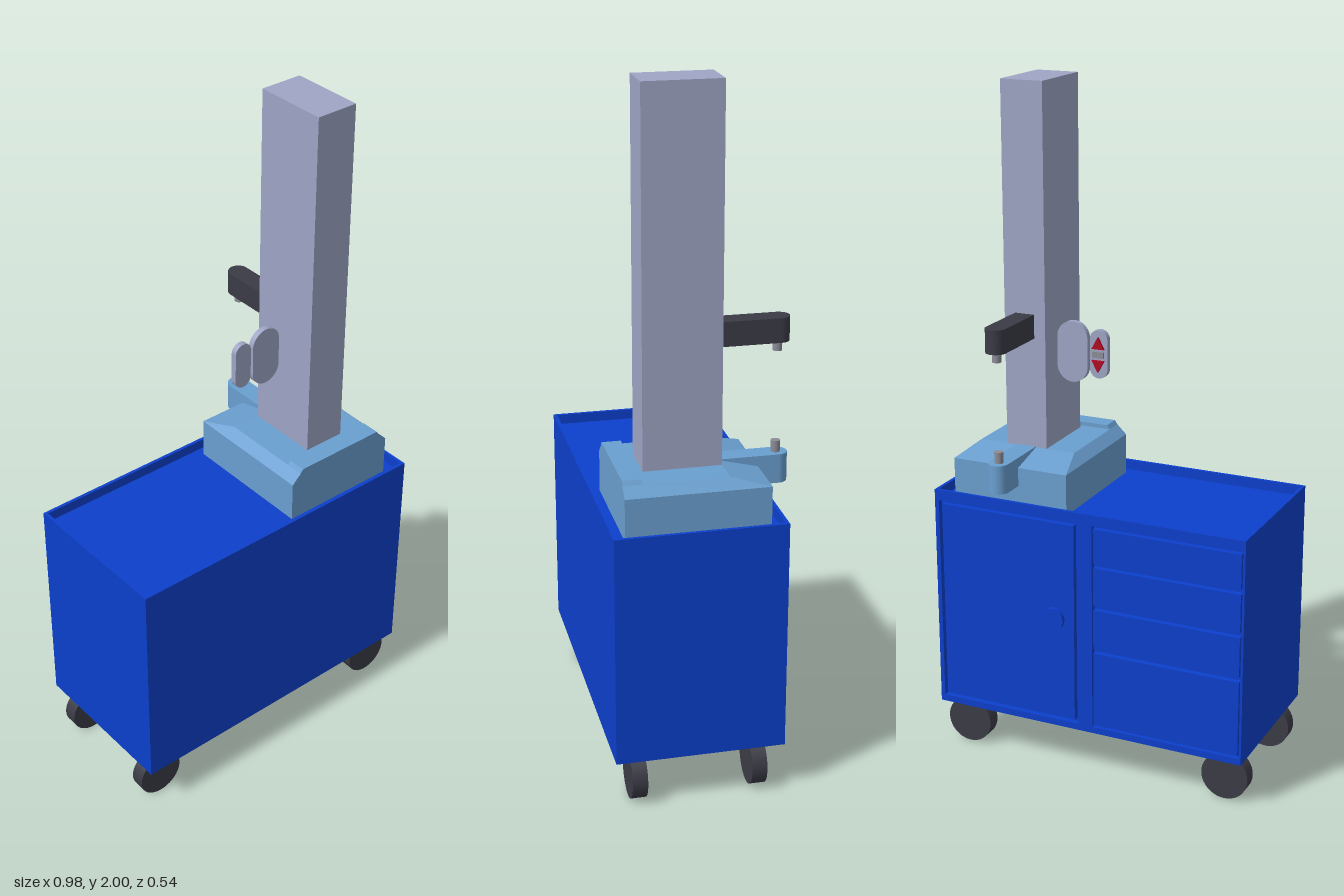
import * as THREE from 'three';
import { ConvexGeometry } from 'three/addons/geometries/ConvexGeometry.js';

const material = (color, flatShading = false) => new THREE.MeshStandardMaterial({ color, flatShading });
const BLUE = material(0x0c3fcb);
const SKY = material(0x6a9fd0);
const SKY_FLAT = material(0x6a9fd0, true);
const PALE = material(0x9ea5c5);
const DARK = material(0x3b3b46);
const RED = material(0xb00a22);
const STEEL = material(0x8c8c98);

export function createModel() {
  const model = new THREE.Group();

  const add = (name, geometry, mat, parent = model) => {
    const mesh = new THREE.Mesh(geometry, mat);
    mesh.name = name;
    parent.add(mesh);
    return mesh;
  };
  const group = (name) => {
    const g = new THREE.Group();
    g.name = name;
    model.add(g);
    return g;
  };
  // Box given by its limits on each axis
  const box = (name, x0, x1, y0, y1, z0, z1, mat, parent) => {
    const mesh = add(name, new THREE.BoxGeometry(x1 - x0, y1 - y0, z1 - z0), mat, parent);
    mesh.position.set((x0 + x1) / 2, (y0 + y1) / 2, (z0 + z1) / 2);
    return mesh;
  };
  const disc = (name, r, length, x, y, z, mat, parent, alongZ = false) => {
    const mesh = add(name, new THREE.CylinderGeometry(r, r, length, 40), mat, parent);
    mesh.position.set(x, y, z);
    if (alongZ) mesh.rotation.x = Math.PI / 2;
    return mesh;
  };
  const extrude = (shape, depth) =>
    new THREE.ExtrudeGeometry(shape, { depth, bevelEnabled: false, curveSegments: 20 });
  const rect = (x0, x1, y0, y1, Type = THREE.Shape) =>
    new Type([[x0, y0], [x1, y0], [x1, y1], [x0, y1]].map(p => new THREE.Vector2(...p)));

  // Cabinet carcass with a shallow tray top
  const cabinet = group('cabinet');
  box('carcass', -0.485, 0.485, 0.145, 0.795, -0.2, 0.267, BLUE, cabinet);
  const rim = rect(-0.485, 0.485, -0.267, 0.217);
  rim.holes.push(rect(-0.475, 0.475, -0.257, 0.207, THREE.Path));
  const rimMesh = add('trayRim', extrude(rim, 0.03), BLUE, cabinet);
  rimMesh.rotation.x = -Math.PI / 2;
  rimMesh.position.y = 0.795;

  // Rear frame with openings for the door and drawers
  const frame = rect(-0.485, 0.485, 0.145, 0.795);
  frame.holes.push(rect(0.025, 0.472, 0.165, 0.793, THREE.Path));
  frame.holes.push(rect(-0.478, -0.022, 0.165, 0.793, THREE.Path));
  add('rearFrame', extrude(frame, 0.017), BLUE, cabinet).position.z = -0.217;
  box('door', 0.035, 0.462, 0.175, 0.783, -0.217, -0.2, BLUE, cabinet);
  disc('doorKnob', 0.034, 0.014, 0.1, 0.488, -0.222, BLUE, cabinet, true);
  const levels = [0.165, 0.41, 0.545, 0.675, 0.793];
  for (let i = 0; i < 4; i++) {
    box('drawer', -0.474, -0.026, levels[i] + 0.007, levels[i + 1] - 0.009, -0.217, -0.2, BLUE, cabinet);
  }

  // Wheels
  for (const x of [-0.417, 0.417]) {
    for (const z of [-0.145, 0.2]) disc('wheel', 0.071, 0.044, x, 0.071, z, DARK, model, true);
  }

  // Pedestal: chamfered sides, slope at the rear
  const base = group('pedestal');
  const corners = [];
  for (const s of [-1, 1]) {
    const x = (half) => 0.256 + s * half;
    for (const z of [-0.18, 0.227]) {
      corners.push(new THREE.Vector3(x(0.181), 0.795, z), new THREE.Vector3(x(0.181), 0.917, z));
    }
    for (const z of [-0.068, 0.227]) corners.push(new THREE.Vector3(x(0.152), 0.945, z));
  }
  add('pedestalBody', new ConvexGeometry(corners), SKY_FLAT, base);
  const lip = new THREE.Shape([[0.104, 0.945], [0.408, 0.945], [0.4, 0.957], [0.112, 0.957]]
    .map(p => new THREE.Vector2(...p)));
  add('frontLip', extrude(lip, 0.055), SKY, base).position.z = 0.172;

  // Column
  box('column', 0.193, 0.322, 0.945, 2, -0.068, 0.154, PALE);

  // Two rear arms with rounded ends and facing centre pins
  const armShape = new THREE.Shape();
  armShape.moveTo(-0.03, 0.06);
  armShape.lineTo(0.03, 0.06);
  armShape.lineTo(0.03, 0.24);
  armShape.absarc(0, 0.24, 0.03, 0, Math.PI, false);
  armShape.closePath();
  const arm = (name, y, height, pinY, mat) => {
    const g = group(name);
    const beam = add('beam', extrude(armShape, height), mat, g);
    beam.rotation.x = -Math.PI / 2;
    beam.position.set(0.258, y, 0);
    disc('pin', 0.013, 0.036, 0.258, pinY, -0.237, STEEL, g);
  };
  arm('upperArm', 1.272, 0.07, 1.261, DARK);
  arm('lowerArm', 0.862, 0.085, 0.962, SKY);

  // Pill-shaped control plates beside the column
  const pill = (name, x0, x1, y0, y1, parent) => {
    const r = (x1 - x0) / 2, x = (x0 + x1) / 2;
    const s = new THREE.Shape();
    s.absarc(x, y1 - r, r, 0, Math.PI, false);
    s.absarc(x, y0 + r, r, Math.PI, 2 * Math.PI, false);
    s.closePath();
    add(name, extrude(s, 0.018), PALE, parent).position.z = 0.004;
  };
  const controls = group('controls');
  pill('bracketPlate', 0.095, 0.191, 1.135, 1.315, controls);
  pill('buttonPlate', 0.032, 0.087, 1.155, 1.298, controls);
  for (const s of [-1, 1]) {
    const tri = new THREE.Shape([[-0.019, 0.017], [0.019, 0.017], [0, 0.052]]
      .map(([x, y]) => new THREE.Vector2(x + 0.0595, 1.226 + s * y)));
    add('arrowButton', extrude(tri, 0.008), RED, controls).position.z = -0.004;
  }
  box('stopButton', 0.042, 0.077, 1.217, 1.235, -0.003, 0.004, STEEL, controls);

  return model;
}
